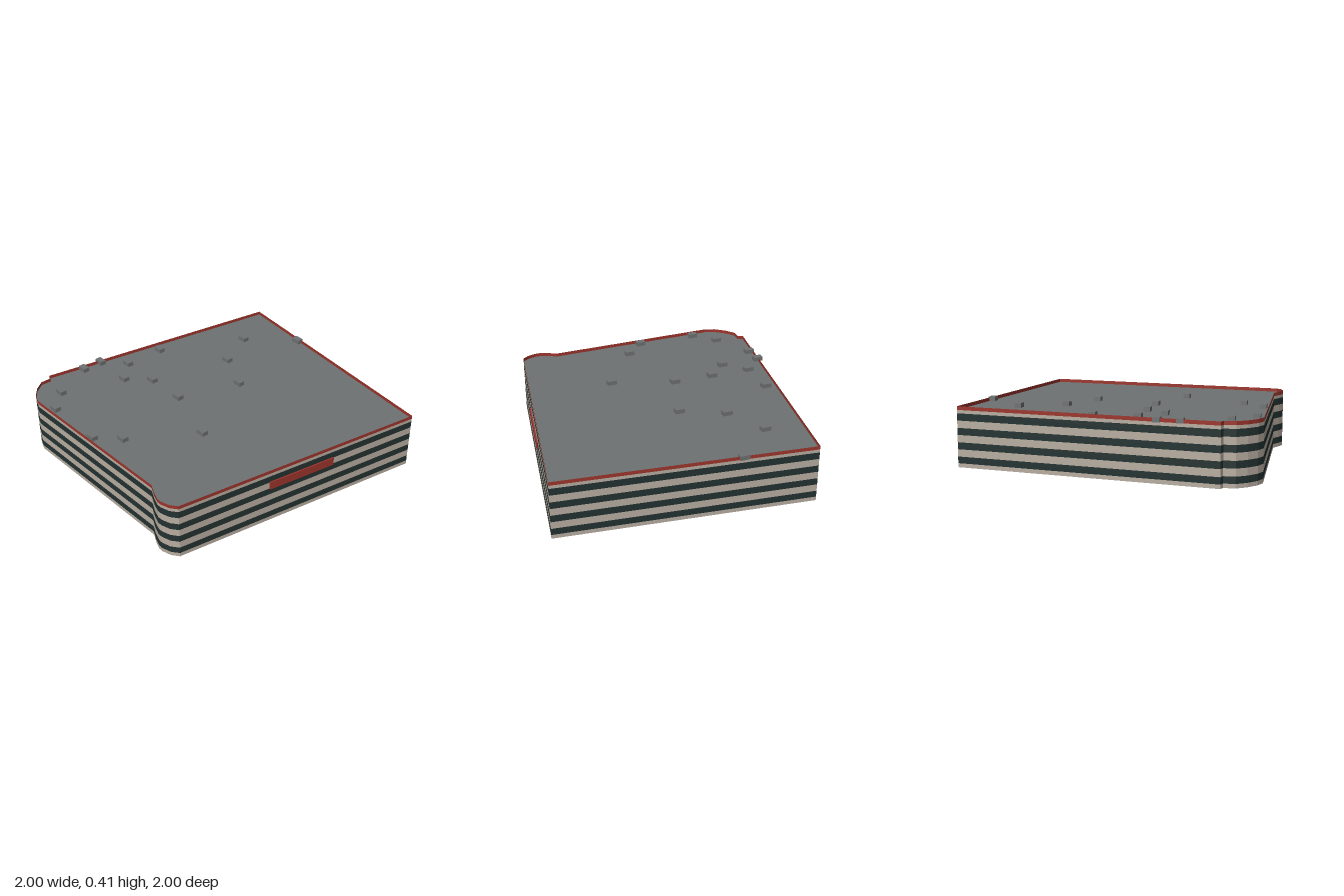
import * as THREE from 'three';

const mat = (name, color) => {
  const m = new THREE.MeshStandardMaterial({ color, side: THREE.DoubleSide });
  m.name = name;
  return m;
};

// Footprint as x, z corners, starting at the back and running clockwise from above
const OUTLINE = [
  [-0.71, -1], [0.995, -0.81],
  [0.7, 0.945], [0.655, 0.98], [0.596, 0.998], [0.565, 0.998], [0.505, 0.977], [0.44, 0.945],
  [-0.78, 0.976], [-0.85, 0.95], [-0.917, 0.896], [-0.965, 0.832], [-0.965, 0.757], [-1, 0.746],
];

// Open ring of flat wall faces between two heights
function wallBand(y0, y1) {
  const pos = [];
  OUTLINE.forEach(([ax, az], i) => {
    const [bx, bz] = OUTLINE[(i + 1) % OUTLINE.length];
    pos.push(ax, y0, az, ax, y1, az, bx, y1, bz);
    pos.push(ax, y0, az, bx, y1, bz, bx, y0, bz);
  });
  const g = new THREE.BufferGeometry();
  g.setAttribute('position', new THREE.Float32BufferAttribute(pos, 3));
  g.computeVertexNormals();
  return g;
}

export function createModel() {
  const group = new THREE.Group();
  const stone = mat('stone', 0xb8ada1);
  const glass = mat('darkGlass', 0x233231);
  const red = mat('red', 0x9c342b);
  const grey = mat('roofGrey', 0x6f7272);

  const add = (name, geometry, material) => {
    const m = new THREE.Mesh(geometry, material);
    m.name = name;
    group.add(m);
    return m;
  };

  // Four storeys of stone and window bands, then the red parapet
  const levels = [0, 0.027, 0.071, 0.119, 0.165, 0.213, 0.259, 0.307, 0.354, 0.376];
  for (let i = 0; i < levels.length - 1; i++) {
    const isWindow = i % 2 === 1;
    add(isWindow ? 'windowBand' : 'stoneBand', wallBand(levels[i], levels[i + 1]), isWindow ? glass : stone);
  }
  add('parapet', wallBand(0.376, 0.4), red);

  // Roof slab just below the parapet rim
  const shape = new THREE.Shape(OUTLINE.map(([x, z]) => new THREE.Vector2(x, -z)));
  add('roof', new THREE.ShapeGeometry(shape).rotateX(-Math.PI / 2), grey).position.y = 0.376;

  // Small rooftop units
  const unit = new THREE.BoxGeometry(0.065, 0.03, 0.044);
  [
    [-0.217, -0.932], [-0.503, -0.648], [-0.36, -0.362], [-0.075, -0.22],
    [-0.79, -0.076], [-0.79, 0.212], [-0.503, 0.212], [-0.217, 0.212],
    [-0.932, 0.353], [-0.647, 0.353], [0.21, 0.353], [-0.932, 0.497],
    [-0.79, 0.783], [-0.075, 0.783], [-0.647, 0.924], [-0.217, 0.924],
  ].forEach(([x, z]) => add('roofUnit', unit, grey).position.set(x, 0.391, z));

  // Plain sign board along the slanted side wall
  const sign = add('signBoard', new THREE.BoxGeometry(0.009, 0.056, 0.487), red);
  sign.position.set(0.858, 0.291, 0.073);
  sign.rotation.y = -Math.atan2(0.295, 1.755);

  return group;
}
